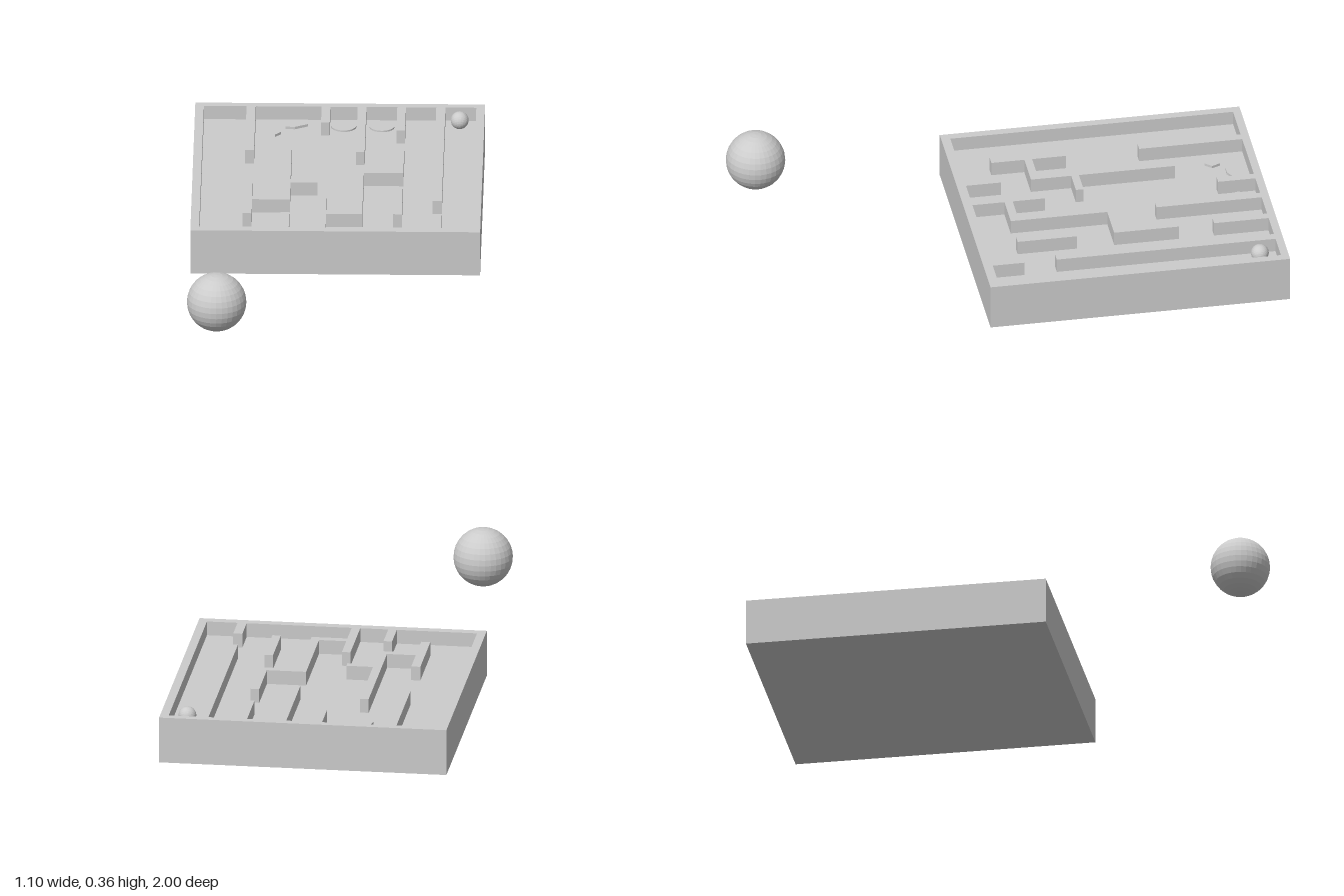
import * as THREE from 'three';

const FLOOR = 0.155, TOP = 0.21, BASE = 0.03;
const X = 0.55, BACK = -1, FRONT = 0.155;

export function createModel() {
  const model = new THREE.Group();
  const material = new THREE.MeshStandardMaterial({ color: 0xcccccc, flatShading: true });

  const add = (name, geometry, x = 0, y = 0, z = 0, parent = model) => {
    const mesh = new THREE.Mesh(geometry, material);
    mesh.name = name;
    mesh.position.set(x, y, z);
    parent.add(mesh);
    return mesh;
  };
  // Block given by its extents
  const block = (name, x0, x1, y0, y1, z0, z1, parent) =>
    add(name, new THREE.BoxGeometry(x1 - x0, y1 - y0, z1 - z0),
      (x0 + x1) / 2, (y0 + y1) / 2, (z0 + z1) / 2, parent);
  // Plan outline in (x, z) raised from y0 to y1
  const slab = (name, shape, y0, y1) => {
    const g = new THREE.ExtrudeGeometry(shape, { depth: y1 - y0, bevelEnabled: false, curveSegments: 16 });
    return add(name, g.rotateX(-Math.PI / 2), 0, y0, 0);
  };
  const outline = (pts) => new THREE.Shape(pts.map(([x, z]) => new THREE.Vector2(x, -z)));
  const rect = (x0, x1, z0, z1) => outline([[x0, z1], [x1, z1], [x1, z0], [x0, z0]]);

  // Bevelled underside: a flat box whose lower corners are drawn in
  const under = new THREE.BoxGeometry(2 * X, BASE, FRONT - BACK);
  const p = under.attributes.position;
  for (let i = 0; i < p.count; i++) {
    if (p.getY(i) < 0) {
      p.setX(i, Math.sign(p.getX(i)) * 0.41);
      p.setZ(i, Math.sign(p.getZ(i)) * 0.44);
    }
  }
  under.computeVertexNormals();
  add('bevelledUnderside', under, 0, BASE / 2, (BACK + FRONT) / 2);

  // Tray floor and the rim around it
  block('trayFloor', -X, X, BASE, FLOOR, BACK, FRONT);
  const rim = rect(-X, X, BACK, FRONT);
  rim.holes.push(rect(-0.517, 0.517, -0.97, 0.12));
  slab('trayRim', rim, FLOOR, TOP);

  // Maze walls: x0, x1, z0, z1
  const maze = new THREE.Group();
  maze.name = 'mazeWalls';
  model.add(maze);
  [
    // from the back rim
    [-0.355, -0.32, -0.97, -0.573],
    [-0.07, -0.037, -0.97, -0.827],
    [0.067, 0.1, -0.97, -0.565],
    [0.217, 0.25, -0.97, -0.76],
    [0.365, 0.4, -0.97, -0.127],
    // from the front rim
    [0.365, 0.4, -0.003, 0.12],
    [-0.21, -0.177, -0.015, 0.12],
    [-0.07, -0.037, -0.16, 0.12],
    // stepped wall on the left
    [-0.037, 0.067, -0.035, -0.003],
    [0.067, 0.1, -0.405, -0.003],
    [0.1, 0.217, -0.405, -0.375],
    [0.217, 0.25, -0.625, -0.375],
    [0.217, 0.25, -0.232, -0.003],
    // branched wall on the right
    [-0.355, -0.32, -0.29, -0.003],
    [-0.32, -0.21, -0.16, -0.13],
    [-0.21, -0.177, -0.685, -0.13],
    [-0.177, -0.075, -0.315, -0.285],
  ].forEach(([x0, x1, z0, z1]) => block('mazeWall', x0, x1, FLOOR, TOP, z0, z1, maze));

  // Half-round and sliver markers on the floor
  for (const x of [0.015, 0.16]) {
    const half = new THREE.Shape();
    half.absarc(x, 0.91, 0.048, Math.PI, 2 * Math.PI);
    slab('halfRoundMarker', half, FLOOR, FLOOR + 0.006);
  }
  slab('sliverMarker', outline([[-0.245, -0.812], [-0.222, -0.837], [-0.236, -0.87]]), FLOOR, FLOOR + 0.01);
  slab('sliverMarker', outline([[-0.205, -0.885], [-0.17, -0.883], [-0.12, -0.91], [-0.19, -0.9]]), FLOOR, FLOOR + 0.01);

  // Small ball in the maze and the large loose ball
  add('mazeBall', new THREE.SphereGeometry(0.034, 32, 16), 0.455, 0.19, -0.9);
  add('largeBall', new THREE.SphereGeometry(0.113, 32, 16), -0.438, 0.25, 0.885);

  return model;
}
